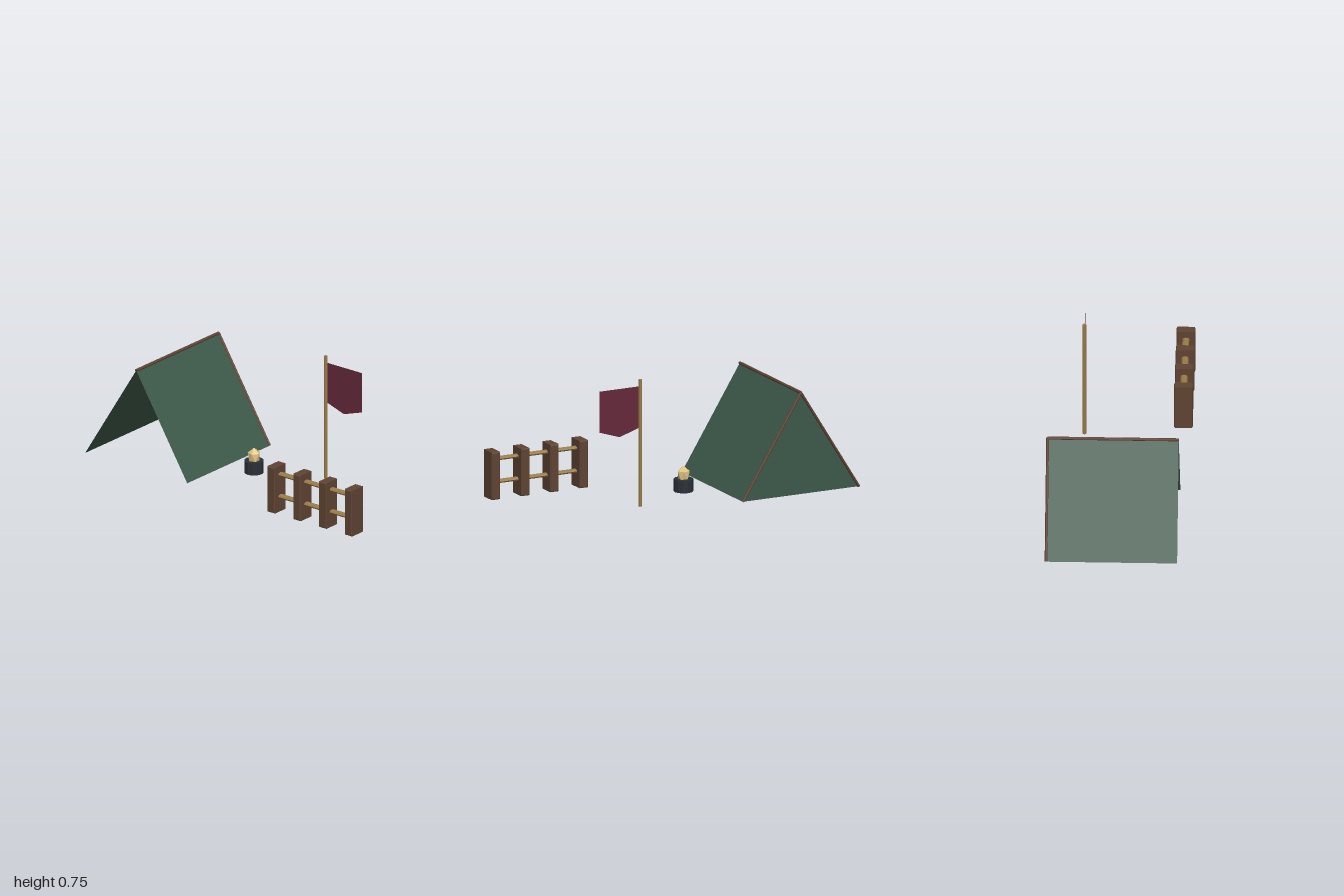
import * as THREE from 'three';
import { ConvexGeometry } from 'three/addons/geometries/ConvexGeometry.js';

const mat = (color, side = THREE.FrontSide) =>
  new THREE.MeshStandardMaterial({ color, side, flatShading: true });
const V = (x, y, z) => new THREE.Vector3(x, y, z);

export function createModel() {
  const model = new THREE.Group();
  const canvas = mat(0x3d5a4a, THREE.DoubleSide);
  const cloth = mat(0x64283a, THREE.DoubleSide);
  const darkWood = mat(0x5f4433);
  const paleWood = mat(0x9a7c48);
  const iron = mat(0x2a3138);
  const ember = mat(0xe2c583);

  const add = (parent, name, geometry, material) => {
    const mesh = new THREE.Mesh(geometry, material);
    mesh.name = name;
    parent.add(mesh);
    return mesh;
  };
  const group = (name) => {
    const g = new THREE.Group();
    g.name = name;
    model.add(g);
    return g;
  };
  // Round bar between two points
  const bar = (parent, name, a, b, r, sides, material) => {
    const mesh = add(parent, name, new THREE.CylinderGeometry(r, r, a.distanceTo(b), sides), material);
    mesh.position.copy(a).lerp(b, 0.5);
    mesh.quaternion.setFromUnitVectors(V(0, 1, 0), b.clone().sub(a).normalize());
    return mesh;
  };
  const outline = (points) => new THREE.Shape(points.map(([x, y]) => new THREE.Vector2(x, y)));

  // Tent: two sloping panels, a closed back and an open front
  const tent = group('tent');
  const cx = -0.619, half = 0.373, base = 0.007, top = 0.604, front = 0.35, back = -0.396;
  const depth = front - back;
  for (const s of [-1, 1]) {
    const panel = add(tent, s < 0 ? 'rightPanel' : 'leftPanel',
      new THREE.PlaneGeometry(Math.hypot(half, top - base), depth), canvas);
    const down = V(s * half, base - top, 0).normalize();
    const along = V(0, 0, 1);
    panel.quaternion.setFromRotationMatrix(
      new THREE.Matrix4().makeBasis(down, along, down.clone().cross(along)));
    panel.position.set(cx + s * half / 2, (top + base) / 2, (front + back) / 2);
    bar(tent, 'backPole', V(cx + s * half, base, back), V(cx, top, back), 0.008, 8, darkWood);
  }
  add(tent, 'backWall', new THREE.ShapeGeometry(
    outline([[cx - half, base], [cx + half, base], [cx, top]])), canvas).position.z = back + 0.002;
  bar(tent, 'ridgePole', V(cx, top, back), V(cx, top, front), 0.009, 8, darkWood);

  // Fire pot with a faceted flame
  const fire = group('firePot');
  fire.position.set(-0.06, 0, -0.024);
  bar(fire, 'pot', V(0, 0.007, 0), V(0, 0.08, 0), 0.056, 12, iron);
  const gem = [V(0, 0.156, 0), V(0, 0.046, 0)];
  for (let i = 0; i < 5; i++) {
    const a = i * Math.PI * 2 / 5, b = a + Math.PI / 5;
    gem.push(V(0.036 * Math.cos(a), 0.126, 0.036 * Math.sin(a)));
    gem.push(V(0.031 * Math.cos(b), 0.076, 0.031 * Math.sin(b)));
  }
  add(fire, 'flame', new ConvexGeometry(gem), ember);

  // Banner on its pole
  const banner = group('banner');
  bar(banner, 'bannerPole', V(0.315, 0.007, -0.21), V(0.315, 0.754, -0.21), 0.0105, 8, paleWood);
  add(banner, 'bannerCloth', new THREE.ShapeGeometry(outline(
    [[0.317, 0.714], [0.317, 0.473], [0.447, 0.43], [0.578, 0.473], [0.578, 0.714]])), cloth).position.z = -0.21;

  // Fence: chamfered posts and flattened round rails
  const fence = group('fence');
  const bevel = 0.005, w = 0.027 - bevel, h = 0.139 - bevel, d = 0.106 - 2 * bevel;
  const postGeometry = new THREE.ExtrudeGeometry(
    outline([[-w, -h], [w, -h], [w, h], [-w, h]]),
    { depth: d, bevelSize: bevel, bevelThickness: bevel, bevelSegments: 1 });
  postGeometry.translate(0, 0, -d / 2);
  for (let i = 0; i < 4; i++) {
    add(fence, 'post', postGeometry, darkWood).position.set(0.409 + i * 0.188, 0.146, 0.351);
  }
  for (const y of [0.1, 0.235]) {
    bar(fence, 'rail', V(0.409, y, 0.351), V(0.973, y, 0.351), 0.012, 8, paleWood).scale.z = 1.65;
  }
  return model;
}
